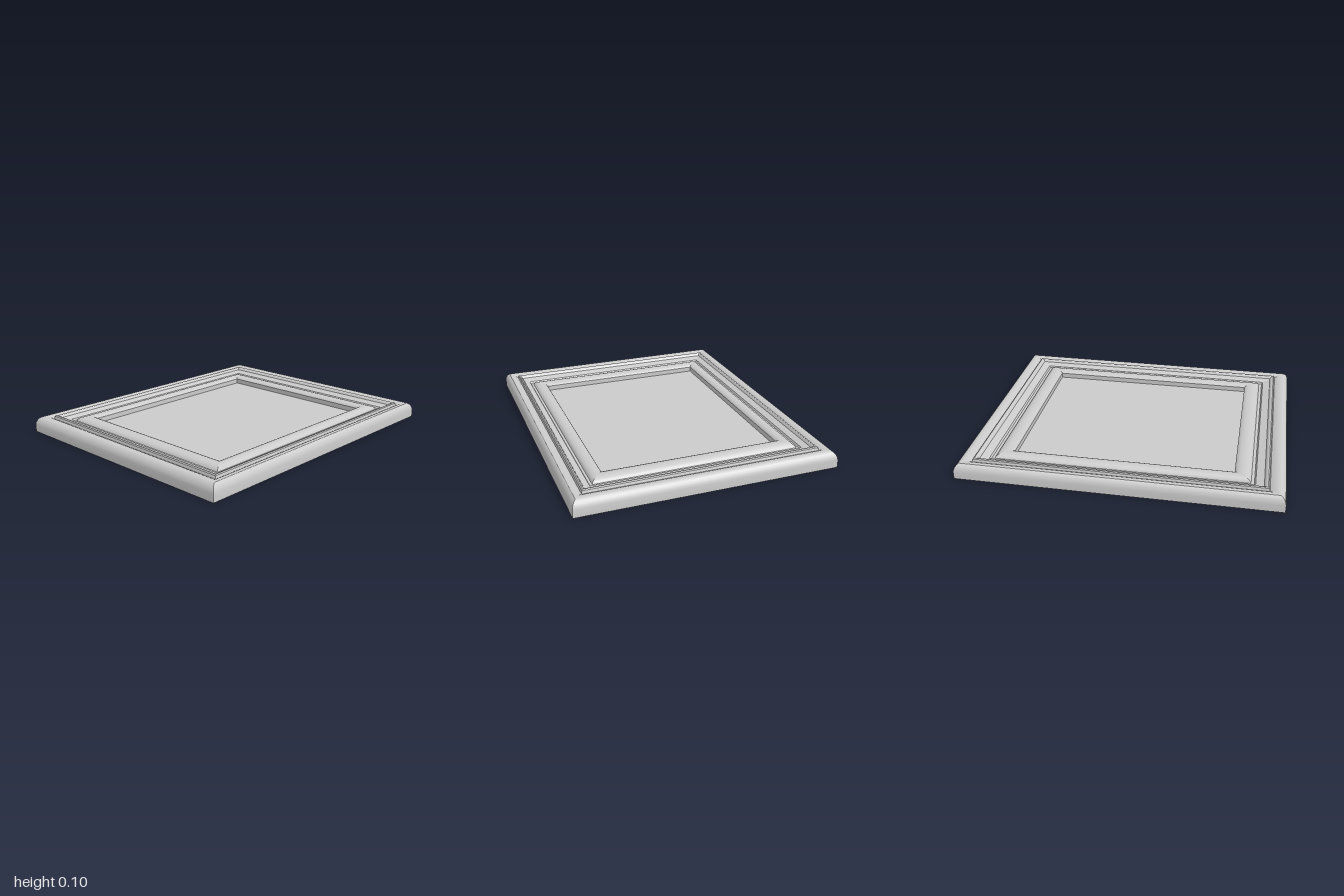
import * as THREE from 'three';
import { toCreasedNormals } from 'three/addons/utils/BufferGeometryUtils.js';

const HALF_X = 0.825; // half width; half length is 1
const PANEL_R = 0.69, PANEL_Y = 0.04;

// Moulding section as [fraction of half size, height], from outer foot to inner foot
const section = [
  [1, 0], [1, 0.05], [0.997, 0.064], [0.99, 0.079], [0.98, 0.091], [0.968, 0.099], [0.955, 0.1],
  [0.935, 0.097], [0.918, 0.09], [0.905, 0.083],                 // outer roll
  [0.9, 0.1], [0.893, 0.105], [0.885, 0.104], [0.877, 0.098],    // raised bead
  [0.87, 0.088], [0.82, 0.074], [0.812, 0.063], [0.793, 0.063],  // sloped band and groove
  [0.788, 0.073], [0.775, 0.083], [0.755, 0.089], [0.735, 0.09], [0.712, 0.087], [0.697, 0.081],
  [PANEL_R, 0.073], [PANEL_R, 0],                                // inner roll and lip
];

// One mitred rail running between two neighbouring corners of the frame
function railGeometry(from, to) {
  const positions = [];
  const point = ([sx, sz], [r, y]) => [sx * HALF_X * r, y, sz * r];
  section.forEach((p, i) => {
    const q = section[(i + 1) % section.length];
    const a = point(from, p), b = point(to, p), c = point(to, q), d = point(from, q);
    positions.push(...a, ...b, ...c, ...a, ...c, ...d);
  });
  const geometry = new THREE.BufferGeometry();
  geometry.setAttribute('position', new THREE.Float32BufferAttribute(positions, 3));
  return toCreasedNormals(geometry, 0.55);
}

export function createModel() {
  const model = new THREE.Group();
  model.name = 'pictureFrame';
  const material = new THREE.MeshStandardMaterial({ color: 0xcccccc });

  // Four mitred rails
  const corners = [[1, 1], [1, -1], [-1, -1], [-1, 1]];
  ['leftRail', 'backRail', 'rightRail', 'frontRail'].forEach((name, k) => {
    const rail = new THREE.Mesh(railGeometry(corners[k], corners[(k + 1) % 4]), material);
    rail.name = name;
    model.add(rail);
  });

  // Recessed flat panel filling the opening
  const panel = new THREE.Mesh(
    new THREE.PlaneGeometry(2 * HALF_X * PANEL_R, 2 * PANEL_R).rotateX(-Math.PI / 2),
    new THREE.MeshStandardMaterial({ color: 0xcccccc, side: THREE.DoubleSide })
  );
  panel.name = 'panel';
  panel.position.y = PANEL_Y;
  model.add(panel);

  return model;
}
